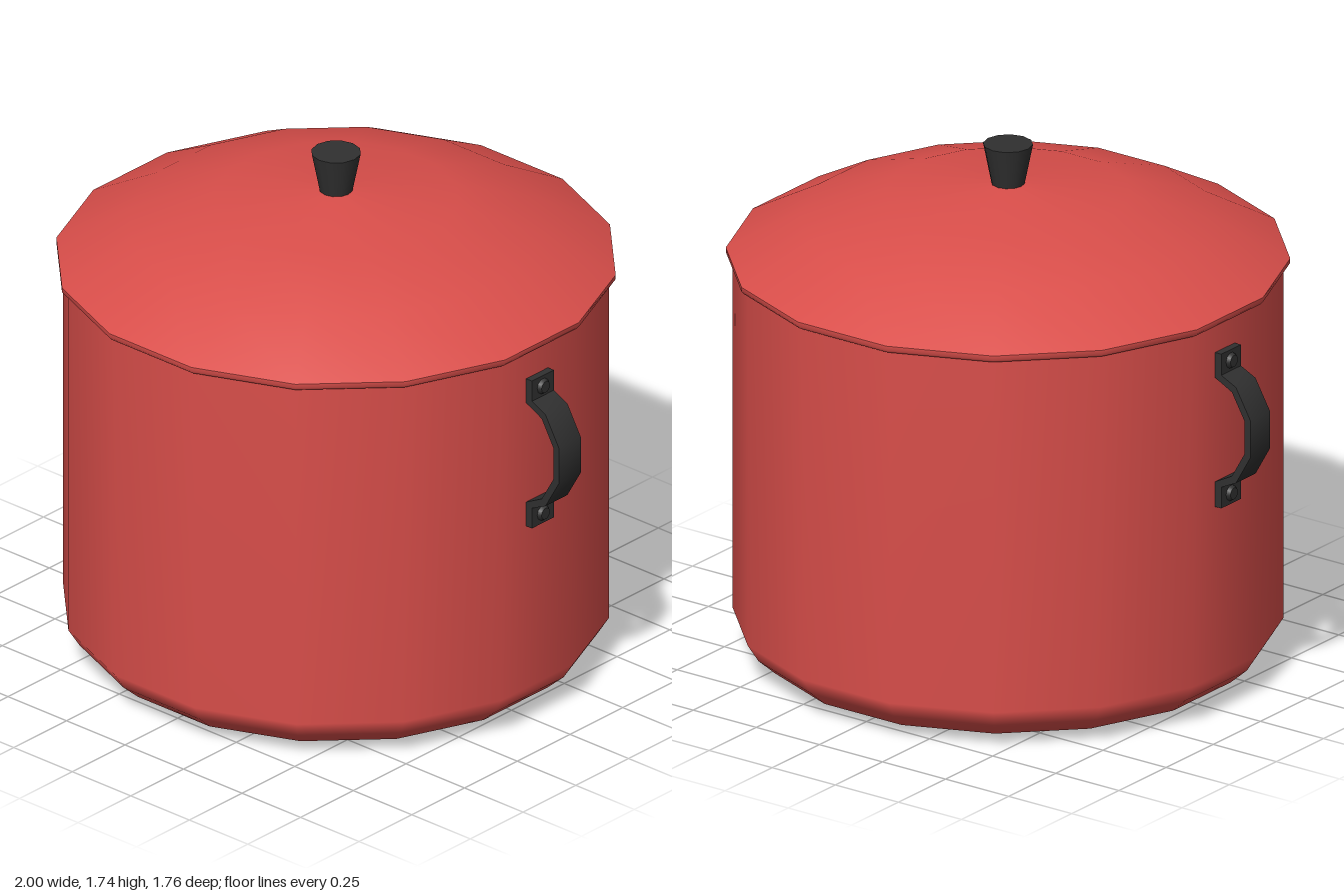
import * as THREE from 'three';
import { toCreasedNormals } from 'three/addons/utils/BufferGeometryUtils.js';

const SIDES = 16;

export function createModel() {
  const red = new THREE.MeshStandardMaterial({ color: 0xd94e4a });
  red.name = 'red enamel';
  const black = new THREE.MeshStandardMaterial({ color: 0x303030 });
  black.name = 'black fittings';

  const model = new THREE.Group();
  model.name = 'cookingPot';

  const add = (parent, name, geometry, material) => {
    const mesh = new THREE.Mesh(geometry, material);
    mesh.name = name;
    parent.add(mesh);
    return mesh;
  };

  // Revolve a profile of [radius, y]; half a step of turn puts flats on the axes
  const turned = (profile) => new THREE.LatheGeometry(
    profile.map(([r, y]) => new THREE.Vector2(r, y)), SIDES, Math.PI / SIDES);

  // Pot: rounded lower edge and straight wall, plus a flat base
  add(model, 'potWall', turned([
    [0.695, 0], [0.783, 0.03], [0.84, 0.08], [0.876, 0.137], [0.876, 1.345],
  ]), red);
  add(model, 'potBase', turned([[0, 0], [0.695, 0]]), red);

  // Lid: dome, thin rim and closed underside
  add(model, 'lidDome', turned([
    [0.897, 1.362], [0.665, 1.485], [0.392, 1.57], [0, 1.606],
  ]), red);
  add(model, 'lidRim', turned([[0.889, 1.338], [0.897, 1.347], [0.897, 1.362]]), red);
  add(model, 'lidUnderside', turned([[0, 1.338], [0.889, 1.338]]), red);

  // Knob: tapered, wider at the top
  const knob = add(model, 'lidKnob', new THREE.CylinderGeometry(0.08, 0.052, 0.14, 12), black);
  knob.position.y = 1.665;

  // Handle strap: outer edge, then inner edge, of a bent band
  const midY = 0.978;
  const lowerOuter = [[0.858, -0.263], [0.884, -0.263], [0.884, -0.191], [0.942, -0.163], [1.0, -0.062]];
  const lowerInner = [[0.976, -0.056], [0.926, -0.143], [0.858, -0.178]];
  const flip = (points) => points.map(([x, y]) => [x, -y]).reverse();
  const outline = [...lowerOuter, ...flip(lowerOuter), ...flip(lowerInner), ...lowerInner];
  const strapShape = new THREE.Shape(outline.map(([x, y]) => new THREE.Vector2(x, y + midY)));
  const strapGeometry = toCreasedNormals(
    new THREE.ExtrudeGeometry(strapShape, { depth: 0.104, bevelEnabled: false })
      .translate(0, 0, -0.052), 0.9);
  const rivetGeometry = new THREE.CylinderGeometry(0.02, 0.028, 0.014, 10).rotateZ(-Math.PI / 2);

  // The right handle is the left one turned half round
  for (const [name, turn] of [['leftHandle', 0], ['rightHandle', Math.PI]]) {
    const handle = new THREE.Group();
    handle.name = name;
    handle.rotation.y = turn;
    add(handle, 'strap', strapGeometry, black);
    for (const side of [-1, 1]) {
      const rivet = add(handle, side < 0 ? 'lowerRivet' : 'upperRivet', rivetGeometry, black);
      rivet.position.set(0.889, midY + side * 0.226, 0);
    }
    model.add(handle);
  }

  return model;
}
